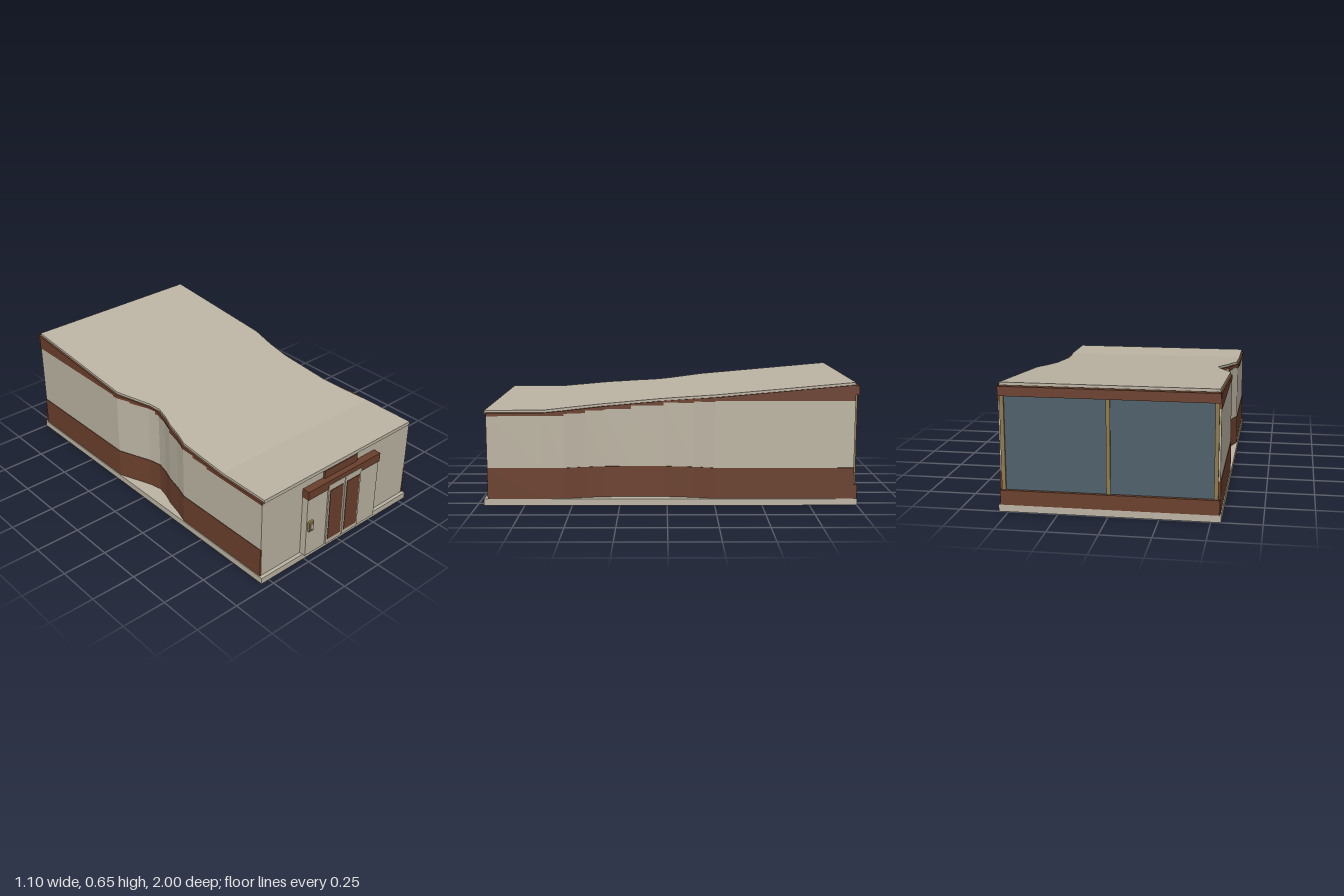
import * as THREE from 'three';

const mat = (name, color, extra = {}) => {
  const m = new THREE.MeshStandardMaterial({ color, ...extra });
  m.name = name;
  return m;
};

// Linear interpolation through [z, value] points sorted by rising z
function interp(pts, z) {
  if (z <= pts[0][0]) return pts[0][1];
  for (let i = 1; i < pts.length; i++) {
    const [z0, v0] = pts[i - 1], [z1, v1] = pts[i];
    if (z <= z1) return v0 + (v1 - v0) * (z - z0) / (z1 - z0);
  }
  return pts[pts.length - 1][1];
}

// Closed solid through rectangular sections { z, x0, x1, y0, y1 } ordered by rising z
function loft(sections) {
  const pos = [];
  const rings = sections.map(s => [
    [s.x0, s.y0, s.z], [s.x1, s.y0, s.z], [s.x1, s.y1, s.z], [s.x0, s.y1, s.z]]);
  const quad = (a, b, c, d) => pos.push(...a, ...b, ...c, ...a, ...c, ...d);
  for (let i = 1; i < rings.length; i++) {
    const a = rings[i - 1], b = rings[i];
    for (let k = 0; k < 4; k++) {
      const n = (k + 1) % 4;
      quad(a[k], a[n], b[n], b[k]);
    }
  }
  const f = rings[0], l = rings[rings.length - 1];
  quad(f[3], f[2], f[1], f[0]);
  quad(l[0], l[1], l[2], l[3]);
  const g = new THREE.BufferGeometry();
  g.setAttribute('position', new THREE.Float32BufferAttribute(pos, 3));
  g.computeVertexNormals();
  return g;
}

// Plan outlines: distance of each side wall from the centre line
const BACK = -0.98, FRONT = 0.945, FLOOR = 0.035;
const rightWall = [[BACK, 0.545], [-0.25, 0.545], [-0.14, 0.517], [0.02, 0.497], [0.19, 0.496],
  [0.33, 0.501], [0.43, 0.517], [0.54, 0.543], [0.65, 0.545], [FRONT, 0.545]];
const leftWall = [[BACK, 0.545], [-0.22, 0.545], [-0.12, 0.507], [-0.03, 0.473], [0.04, 0.459],
  [0.11, 0.475], [0.18, 0.5], [0.27, 0.52], [0.35, 0.545], [0.65, 0.545], [FRONT, 0.545]];
const rightRoof = [[BACK, 0.535], [-0.25, 0.535], [-0.1, 0.505], [0.05, 0.487], [0.35, 0.489],
  [0.5, 0.508], [0.65, 0.535], [FRONT, 0.535]];
const leftRoof = leftWall.map(([z, x]) => [z, x - 0.01]);
const roofTop = [[BACK, 0.65], [0.65, 0.505], [FRONT, 0.505]];
const roofY = z => interp(roofTop, z);

// Height of the stepped top edge of the pale wall band
const bandTop = z => {
  const steps = [[-0.25, 0.555], [-0.14, 0.548], [0.02, 0.54], [0.19, 0.523], [0.33, 0.505],
    [0.43, 0.5], [0.54, 0.487]];
  const s = steps.find(([limit]) => z < limit);
  return s ? s[1] : 0.475;
};

export function createModel() {
  const model = new THREE.Group();
  const beige = mat('beige', 0xbdb5a4);
  const brown = mat('brown', 0x6b402d);
  const gold = mat('gold', 0x8f7a4c);
  const glass = mat('blue glass', 0x4e606a);
  const dark = mat('dark grey', 0x3f3d3a);

  const add = (name, geometry, material) => {
    const m = new THREE.Mesh(geometry, material);
    m.name = name;
    model.add(m);
    return m;
  };
  const box = (name, material, x0, x1, y0, y1, z0, z1) => {
    add(name, new THREE.BoxGeometry(x1 - x0, y1 - y0, z1 - z0), material)
      .position.set((x0 + x1) / 2, (y0 + y1) / 2, (z0 + z1) / 2);
  };

  // Base slab
  box('baseSlab', beige, -0.55, 0.55, 0, FLOOR, -1, 0.965);

  // Solid core and sloping roof following both waisted sides
  const zs = [...new Set([...rightWall, ...leftWall, ...rightRoof].map(p => p[0]))]
    .sort((a, b) => a - b);
  add('core', loft(zs.map(z => ({
    z: z === BACK ? BACK + 0.01 : z,
    x0: -interp(leftWall, z) + 0.01, x1: interp(rightWall, z) - 0.01,
    y0: FLOOR, y1: roofY(z) - 0.016,
  }))), beige);
  add('roof', loft(zs.map(z => ({
    z, x0: -interp(leftRoof, z), x1: interp(rightRoof, z),
    y0: roofY(z) - 0.015, y1: roofY(z),
  }))), beige);

  // Side walls: dark skirt, pale band, dark strip under the roof
  for (const [side, outline, label] of [[1, rightWall, 'left'], [-1, leftWall, 'right']]) {
    const cuts = [...new Set([...outline.map(p => p[0]), -0.25, -0.14, 0.02, 0.19, 0.33, 0.43, 0.54])]
      .sort((a, b) => a - b);
    const band = (name, material, low, high, out) => {
      const sections = [];
      for (let i = 1; i < cuts.length; i++) {
        const mid = (cuts[i - 1] + cuts[i]) / 2;
        for (const z of [cuts[i - 1], cuts[i]]) {
          const outer = side * (interp(outline, z) + out), inner = outer - side * 0.015;
          sections.push({
            z, x0: Math.min(inner, outer), x1: Math.max(inner, outer),
            y0: low(z, mid), y1: high(z, mid),
          });
        }
      }
      add(label + name, loft(sections), material);
    };
    band('Skirt', brown, () => FLOOR, () => 0.2, 0);
    band('WallBand', beige, () => 0.2, (z, mid) => bandTop(mid), -0.003);
    band('EaveStrip', brown, (z, mid) => bandTop(mid), z => roofY(z) - 0.013, 0);
  }

  // Glazed back with sill, header and mullions
  box('backGlass', glass, -0.53, 0.53, 0.1, 0.6, -0.981, -0.965);
  box('backSill', brown, -0.54, 0.54, FLOOR, 0.11, -1, -0.965);
  box('backHeader', brown, -0.54, 0.54, 0.585, 0.633, -1, -0.965);
  for (const x of [-0.523, 0, 0.523])
    box('mullion', gold, x - 0.01, x + 0.01, 0.11, 0.585, -0.99, -0.975);

  // Front fascia and entrance
  box('frontFascia', beige, -0.535, 0.535, 0.485, 0.505, 0.94, 0.952);
  box('entranceCanopy', brown, -0.265, 0.265, 0.39, 0.44, 0.94, 0.988);
  box('canopyBlock', brown, -0.12, 0.12, 0.44, 0.485, 0.94, 0.957);
  box('threshold', dark, -0.1, 0.12, FLOOR, 0.041, 0.94, 0.981);
  for (const s of [-1, 1]) {
    const mirrored = (name, m, a, b, ...rest) =>
      box(name, m, Math.min(s * a, s * b), Math.max(s * a, s * b), ...rest);
    mirrored('entranceSidePanel', beige, 0.12, 0.263, FLOOR, 0.39, 0.94, 0.982);
    mirrored('door', beige, 0.002, 0.12, 0.041, 0.415, 0.945, 0.99);
    mirrored('doorPanel', brown, 0.014, 0.109, 0.068, 0.38, 0.988, 0.993);
  }
  box('doorGap', dark, -0.002, 0.002, 0.041, 0.415, 0.945, 0.985);

  // Wall keypad
  box('keypadFrame', gold, -0.255, -0.223, 0.192, 0.25, 0.98, 0.996);
  box('keypadFace', beige, -0.249, -0.227, 0.205, 0.236, 0.994, 1);

  return model;
}
